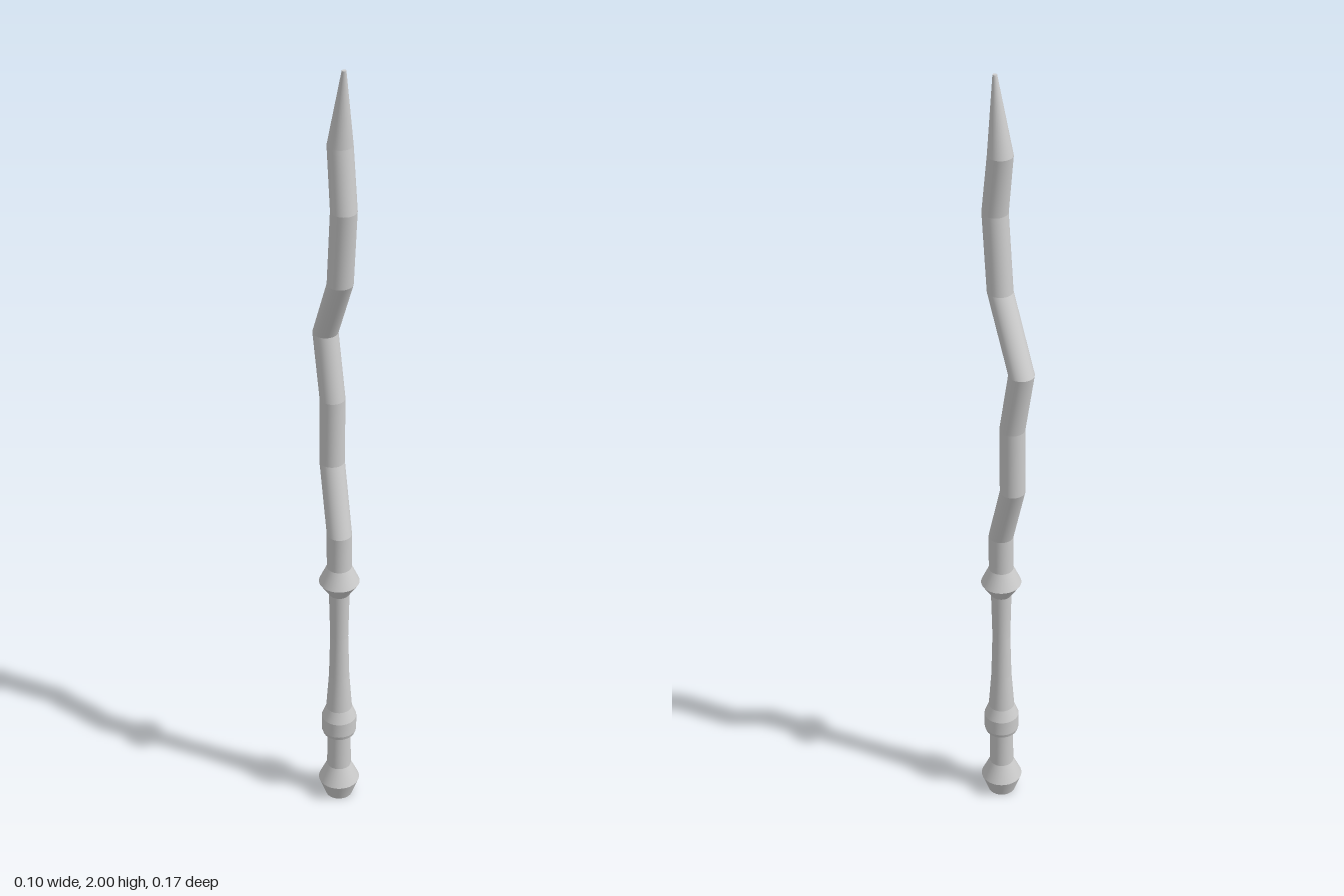
import * as THREE from 'three';
import { mergeGeometries, mergeVertices } from 'three/addons/utils/BufferGeometryUtils.js';

const SIDES = 32;

// Rings as [y, radius, x, z]
const HX = -0.001, HZ = 0.034;
const handleRings = [
  [0, 0.034], [0.048, 0.051], [0.095, 0.03], [0.195, 0.029], [0.2, 0.04], [0.21, 0.043], [0.25, 0.043],
  [0.28, 0.032], [0.38, 0.025], [0.5, 0.022], [0.63, 0.025], [0.667, 0.049], [0.71, 0.03],
].map(([y, r]) => [y, r, HX, HZ]);

const shaftRings = [
  [0.71, 0.03, HX, HZ], [0.805, 0.03, HX, HZ], [0.974, 0.03, 0.005, -0.026],
  [1.148, 0.03, 0.006, -0.026], [1.31, 0.03, 0.001, -0.056], [1.482, 0.03, 0, 0.034],
  [1.672, 0.03, 0, 0.054], [1.82, 0.029, 0, 0.032], [2, 0.005, 0, 0.053],
];

// One sheared cone between two level rings, smooth around its girth
function segment([y0, r0, x0, z0], [y1, r1, x1, z1]) {
  const h = y1 - y0;
  let g = new THREE.CylinderGeometry(r1, r0, h, SIDES, 1, true);
  const p = g.attributes.position;
  for (let i = 0; i < p.count; i++) {
    const t = p.getY(i) / h + 0.5;
    p.setXYZ(i, p.getX(i) + x0 + (x1 - x0) * t, y0 + h * t, p.getZ(i) + z0 + (z1 - z0) * t);
  }
  g.deleteAttribute('uv');
  g.deleteAttribute('normal');
  g = mergeVertices(g);
  g.computeVertexNormals();
  return g;
}

// Flat disc closing an end; dir is +1 for up, -1 for down
function cap([y, r, x, z], dir) {
  const g = new THREE.CircleGeometry(r, SIDES).rotateX(-dir * Math.PI / 2).translate(x, y, z);
  g.deleteAttribute('uv');
  return g;
}

function loft(rings, caps) {
  const parts = rings.slice(1).map((ring, i) => segment(rings[i], ring));
  return mergeGeometries([...parts, ...caps]);
}

export function createModel() {
  const group = new THREE.Group();
  group.name = 'wand';
  const material = new THREE.MeshStandardMaterial({ color: 0xcccccc });
  const add = (name, geometry) => {
    const mesh = new THREE.Mesh(geometry, material);
    mesh.name = name;
    group.add(mesh);
  };
  // Turned handle with pommel, ring and collar
  add('handle', loft(handleRings, [cap(handleRings[0], -1)]));
  // Crooked shaft ending in a blunt point
  add('shaft', loft(shaftRings, [cap(shaftRings.at(-1), 1)]));
  return group;
}
